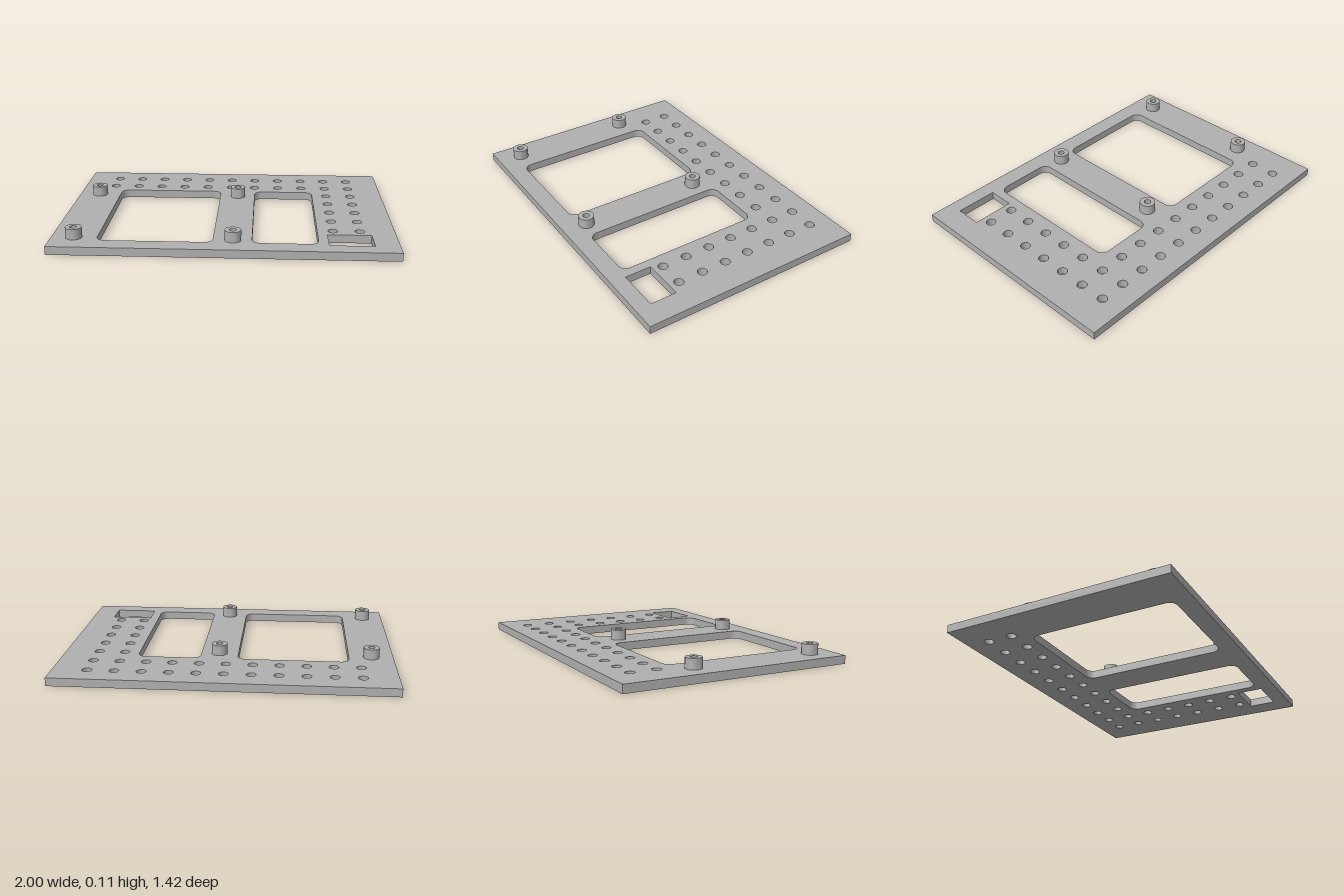
import * as THREE from 'three';
import { toCreasedNormals } from 'three/addons/utils/BufferGeometryUtils.js';

const PLATE_T = 0.05;
const STANDOFF_H = 0.063;

// Plan outlines: shape x = model x, shape y = model z
function roundedRect(PathType, x0, x1, z0, z1, r = 0) {
  const p = new PathType();
  if (r === 0) {
    p.moveTo(x0, z0).lineTo(x1, z0).lineTo(x1, z1).lineTo(x0, z1).closePath();
    return p;
  }
  p.absarc(x1 - r, z0 + r, r, -Math.PI / 2, 0);
  p.absarc(x1 - r, z1 - r, r, 0, Math.PI / 2);
  p.absarc(x0 + r, z1 - r, r, Math.PI / 2, Math.PI);
  p.absarc(x0 + r, z0 + r, r, Math.PI, Math.PI * 1.5);
  p.closePath();
  return p;
}

function circle(PathType, x, z, r) {
  return new PathType().absarc(x, z, r, 0, Math.PI * 2);
}

// Extrude a plan outline upward from y = base
function slab(shape, base, height) {
  const g = new THREE.ExtrudeGeometry(shape, { depth: height, bevelEnabled: false, curveSegments: 16 });
  g.rotateX(Math.PI / 2).translate(0, base + height, 0);
  return toCreasedNormals(g, Math.PI / 6);
}

export function createModel() {
  const model = new THREE.Group();
  model.name = 'mountingPlate';
  const grey = new THREE.MeshStandardMaterial({ color: 0xb0b0b0 });
  grey.name = 'plainGrey';

  // Base plate with its cut-outs
  const outline = roundedRect(THREE.Shape, -1, 1, -0.708, 0.708);
  outline.holes.push(
    roundedRect(THREE.Path, -0.732, -0.063, -0.315, 0.597, 0.05),
    roundedRect(THREE.Path, 0.163, 0.543, -0.315, 0.597, 0.05),
    roundedRect(THREE.Path, 0.6, 0.857, 0.45, 0.613)
  );

  // L-shaped hole grid: two rows along the back, two columns down the left side
  const pitch = 0.1589;
  for (let col = 0; col < 11; col++) {
    for (let row = 0; row < 7; row++) {
      if (row > 1 && col < 9) continue;
      outline.holes.push(circle(THREE.Path, -0.795 + col * pitch, -0.565 + row * pitch, 0.029));
    }
  }
  const plate = new THREE.Mesh(slab(outline, 0, PLATE_T), grey);
  plate.name = 'basePlate';
  model.add(plate);

  // Four hollow standoffs, closed below by the plate
  const ring = circle(THREE.Shape, 0, 0, 0.048);
  ring.holes.push(circle(THREE.Path, 0, 0, 0.02));
  const standoffGeometry = slab(ring, PLATE_T, STANDOFF_H);
  for (const x of [-0.867, 0.053]) {
    for (const z of [-0.222, 0.556]) {
      const standoff = new THREE.Mesh(standoffGeometry, grey);
      standoff.name = 'standoff';
      standoff.position.set(x, 0, z);
      model.add(standoff);
    }
  }
  return model;
}
